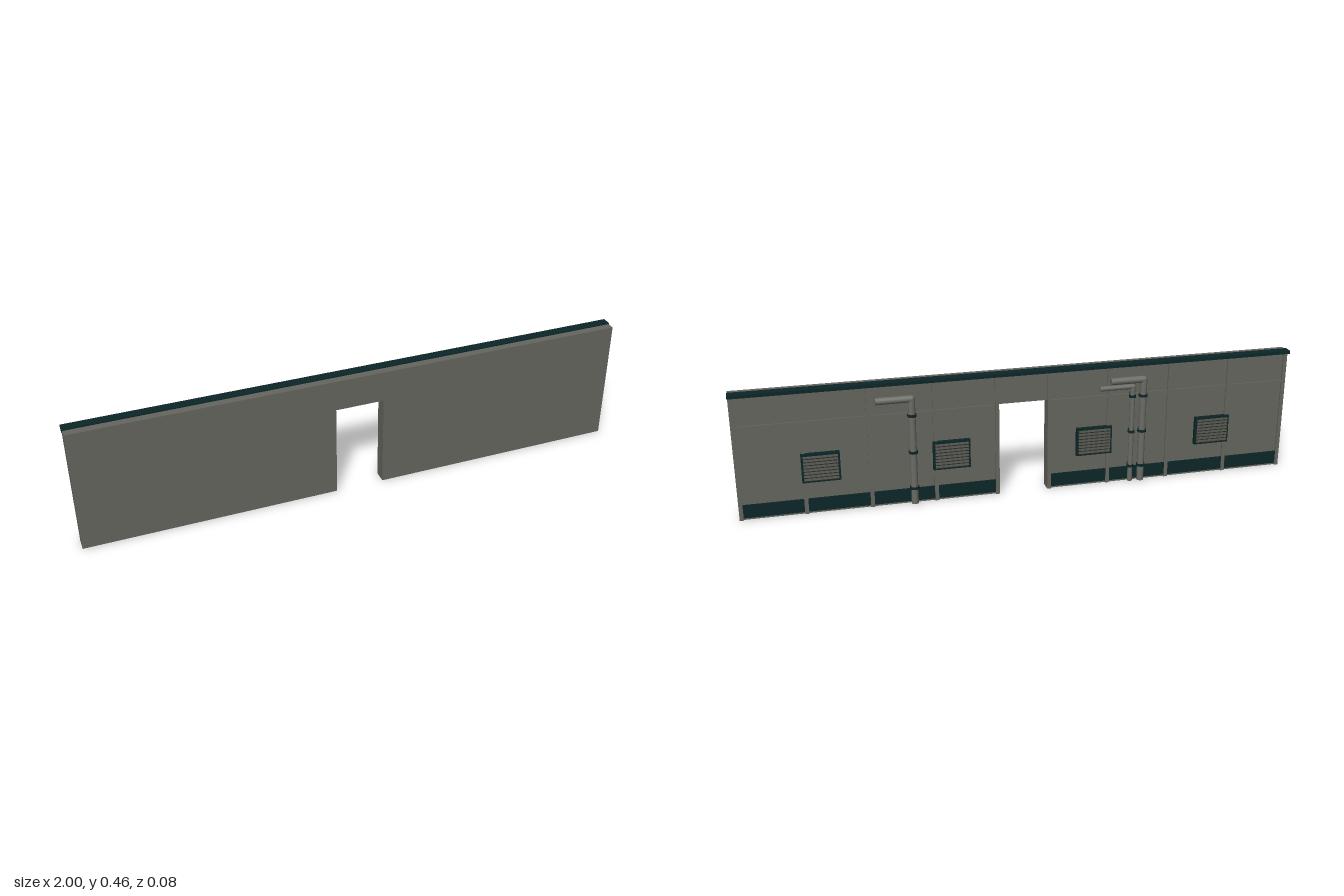
import * as THREE from 'three';

const mat = (name, color) => {
  const m = new THREE.MeshStandardMaterial({ color });
  m.name = name;
  return m;
};

export function createModel() {
  const group = new THREE.Group();
  const wallGrey = mat('wall grey', 0x66665f);
  const pipeGrey = mat('pipe grey', 0x6b6b66);
  const slatGrey = mat('slat grey', 0x474841);
  const darkTeal = mat('dark teal', 0x0c2628);

  const add = (name, geo, material, x = 0, y = 0, z = 0, parent = group) => {
    const mesh = new THREE.Mesh(geo, material);
    mesh.name = name;
    mesh.position.set(x, y, z);
    parent.add(mesh);
    return mesh;
  };
  // Box given by its limits on each axis
  const box = (name, material, x0, x1, y0, y1, z0, z1, parent = group) =>
    add(name, new THREE.BoxGeometry(x1 - x0, y1 - y0, z1 - z0), material,
      (x0 + x1) / 2, (y0 + y1) / 2, (z0 + z1) / 2, parent);

  const END = 0.998, DOOR = 0.088, DOOR_TOP = 0.341, TOP = 0.454;
  const BACK = 0, RIB = -0.006;

  // Wall slab with the doorway cut out
  const outline = new THREE.Shape([
    [-END, 0], [-DOOR, 0], [-DOOR, DOOR_TOP], [DOOR, DOOR_TOP],
    [DOOR, 0], [END, 0], [END, TOP], [-END, TOP],
  ].map(([x, y]) => new THREE.Vector2(x, y)));
  add('wall', new THREE.ExtrudeGeometry(outline, { depth: 0.0415 - BACK, bevelEnabled: false }), wallGrey, 0, 0, BACK);

  // Cap along the top edge
  box('topTrim', darkTeal, -1, 1, 0.446, 0.458, -0.021, 0.013);

  // Ribs, rail, base trim and vents on the back of each half
  for (const side of [-1, 1]) {
    const half = new THREE.Group();
    half.name = side > 0 ? 'leftHalfDetails' : 'rightHalfDetails';
    group.add(half);
    const span = (name, material, a, b, y0, y1, z0, z1) =>
      box(name, material, Math.min(a * side, b * side), Math.max(a * side, b * side), y0, y1, z0, z1, half);

    const pitch = (END - DOOR) / 4;
    for (let i = 0; i <= 4; i++) {
      const c = DOOR + i * pitch + (i === 0 ? 0.007 : i === 4 ? -0.007 : 0);
      span('rib', wallGrey, c - 0.007, c + 0.007, 0, 0.446, RIB, BACK);
    }
    span('rail', wallGrey, DOOR, END, 0.33, 0.341, -0.005, BACK);
    span('baseTrim', darkTeal, DOOR + 0.014, END - 0.014, 0.008, 0.056, -0.0055, BACK);

    for (const c of [0.26, 0.713]) {
      span('ventFrame', darkTeal, c - 0.066, c + 0.066, 0.12, 0.225, -0.014, BACK);
      for (let i = 0; i < 8; i++) {
        const slat = add('ventSlat', new THREE.BoxGeometry(0.118, 0.004, 0.012), slatGrey,
          c * side, 0.132 + i * 0.0116, -0.0165, half);
        slat.rotation.x = -0.5;
      }
    }
  }

  // Drain pipe: upright, joint, short arm toward +x, and three clamps
  const pipe = (name, x, top, arm, r) => {
    const g = new THREE.Group();
    g.name = name;
    group.add(g);
    const z = -0.0235, bottom = 0.008;
    add('upright', new THREE.CylinderGeometry(r, r, top - bottom, 16), pipeGrey, x, (top + bottom) / 2, z, g);
    add('elbow', new THREE.SphereGeometry(r, 16, 12), pipeGrey, x, top, z, g);
    const a = add('arm', new THREE.CylinderGeometry(r, r, arm, 16), pipeGrey, x + arm / 2, top, z, g);
    a.rotation.z = Math.PI / 2;
    for (const y of [0.068, 0.202, 0.337]) {
      add('clamp', new THREE.CylinderGeometry(r + 0.0035, r + 0.0035, 0.009, 16), darkTeal, x, y, z, g);
      box('clampBracket', darkTeal, x - 0.005, x + 0.005, y - 0.0045, y + 0.0045, z, BACK, g);
    }
  };
  pipe('leftPipe', 0.397, 0.397, 0.123, 0.0125);
  pipe('rightPipe', -0.436, 0.397, 0.123, 0.0125);
  pipe('rightThinPipe', -0.396, 0.373, 0.123, 0.009);

  return group;
}
